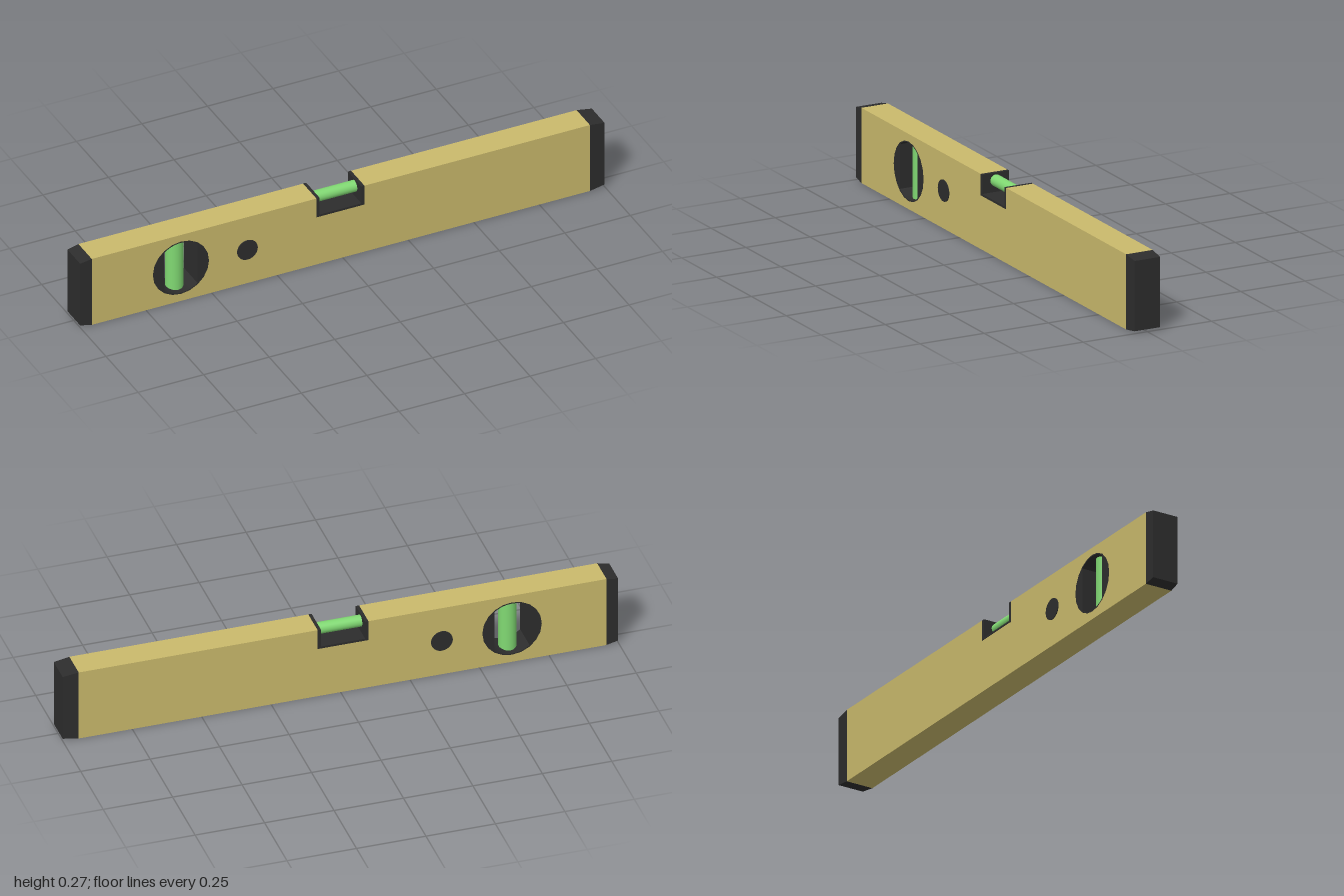
import * as THREE from 'three';

const mat = (name, color) => {
  const m = new THREE.MeshStandardMaterial({ color });
  m.name = name;
  return m;
};

export function createModel() {
  const group = new THREE.Group();
  const brass = mat('brass yellow', 0xc9b96b);
  const black = mat('black plastic', 0x2d2d2d);
  const green = mat('vial green', 0x80d872);
  const add = (name, geo, material, x = 0, y = 0, z = 0) => {
    const mesh = new THREE.Mesh(geo, material);
    mesh.name = name;
    mesh.position.set(x, y, z);
    group.add(mesh);
    return mesh;
  };
  const extrude = (shape, depth, curveSegments = 12) =>
    new THREE.ExtrudeGeometry(shape, { depth, bevelEnabled: false, curveSegments })
      .translate(0, 0, -depth / 2);

  const H = 0.27, D = 0.104;
  const left = -0.957, right = 0.943;
  const hole = { x: -0.617, y: 0.136, r: 0.107 };
  const notch = { x0: -0.1, x1: 0.083, y: 0.193 };

  // Long body with a top notch and a round window
  const outline = new THREE.Shape([
    [left, 0], [right, 0], [right, H], [notch.x1, H], [notch.x1, notch.y],
    [notch.x0, notch.y], [notch.x0, H], [left, H],
  ].map(([x, y]) => new THREE.Vector2(x, y)));
  outline.holes.push(new THREE.Path().absarc(hole.x, hole.y, hole.r, 0, Math.PI * 2, true));
  add('body', extrude(outline, D, 10), brass);

  // End caps, narrowing slightly towards the tip
  const cap = (name, inner, outer) => {
    const geo = new THREE.BoxGeometry(Math.abs(outer - inner), H, D).toNonIndexed();
    const p = geo.attributes.position;
    for (let i = 0; i < p.count; i++) {
      if (p.getX(i) * outer > 0) {
        p.setY(i, p.getY(i) * 0.935);
        p.setZ(i, p.getZ(i) * 0.95);
      }
    }
    geo.computeVertexNormals();
    add(name, geo, black, (inner + outer) / 2, H / 2);
  };
  cap('rightEndCap', left, -1);
  cap('leftEndCap', right, 1);

  // Window collar: a disc with a flat-sided opening
  const collar = new THREE.Shape().absarc(0, 0, hole.r, 0, Math.PI * 2, false);
  const innerR = 0.102, b = Math.acos(0.063 / innerR);
  const slot = new THREE.Path();
  slot.absarc(0, 0, innerR, b, Math.PI - b, false);
  slot.absarc(0, 0, innerR, Math.PI + b, Math.PI * 2 - b, false);
  slot.closePath();
  collar.holes.push(slot);
  add('windowCollar', extrude(collar, D + 0.0006, 10), black, hole.x, hole.y);

  // Upright vial in the window
  add('uprightVial', new THREE.CylinderGeometry(0.032, 0.032, 0.206, 24), green, hole.x, hole.y);

  // Round plug passing through both sides
  add('plug', new THREE.CylinderGeometry(0.039, 0.039, 0.11, 24).rotateX(Math.PI / 2),
    black, -0.364, 0.137);

  // U-shaped tray lining the notch
  const tray = new THREE.Shape([
    [notch.x0, notch.y], [notch.x1, notch.y], [notch.x1, H], [0.071, H], [0.071, 0.201],
    [-0.088, 0.201], [-0.088, H], [notch.x0, H],
  ].map(([x, y]) => new THREE.Vector2(x, y)));
  add('notchTray', extrude(tray, D + 0.0006), black);

  // Level vial lying across the tray
  add('levelVial', new THREE.CylinderGeometry(0.021, 0.021, 0.16, 24).rotateZ(Math.PI / 2),
    green, -0.0085, 0.243);

  return group;
}
